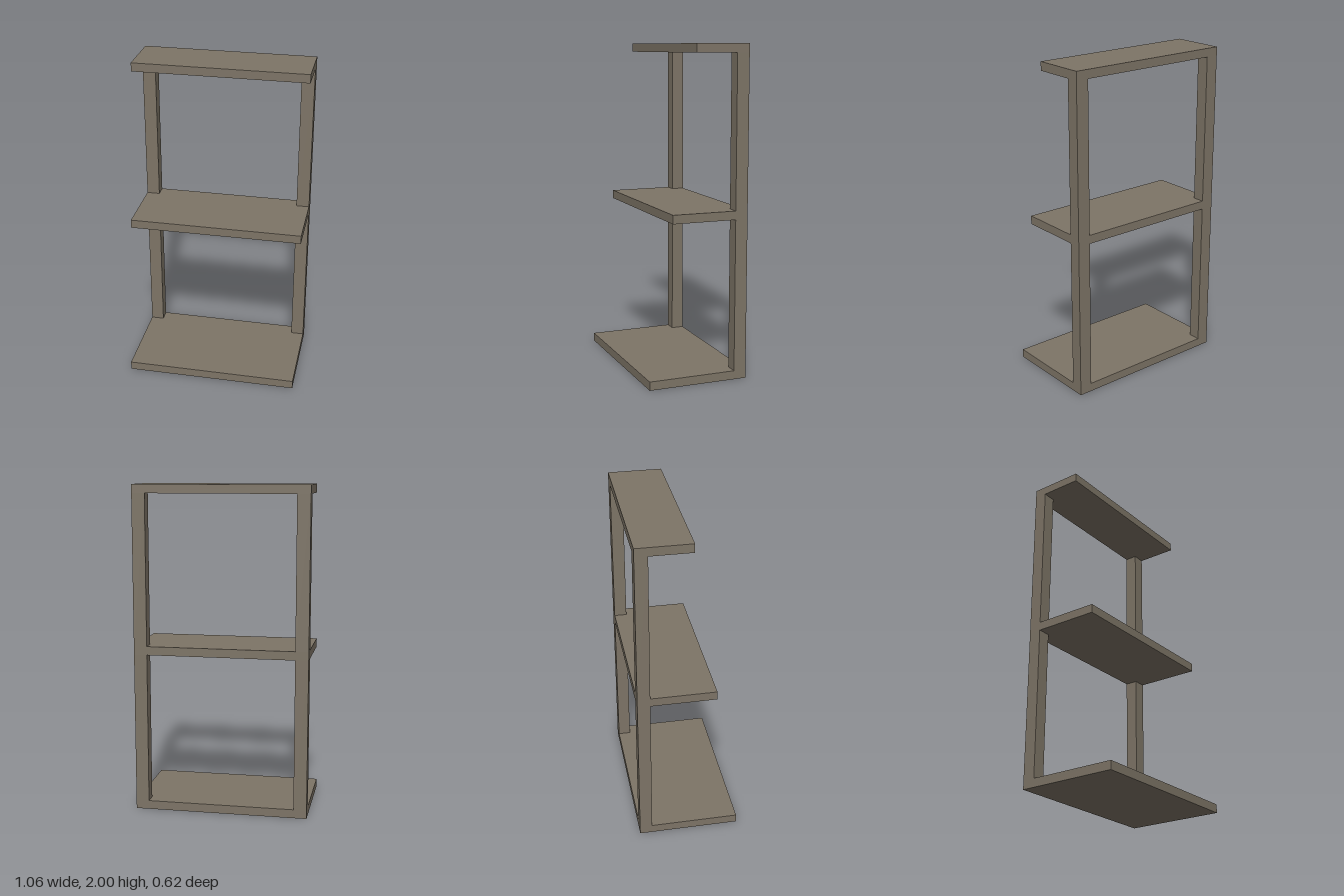
import * as THREE from 'three';

const WIDTH = 1.064, BACK = -0.31, THICK = 0.053;
const POST_W = 0.08, POST_D = 0.077;

export function createModel() {
  const group = new THREE.Group();
  const material = new THREE.MeshStandardMaterial({ color: 0x7d7466 });

  // Box given by its centre x, bottom y and back z
  function box(name, w, h, d, x, y, z) {
    const mesh = new THREE.Mesh(new THREE.BoxGeometry(w, h, d), material);
    mesh.name = name;
    mesh.position.set(x, y + h / 2, z + d / 2);
    group.add(mesh);
  }

  // Shelves, flush at the back and shallower towards the top
  const shelves = [
    { name: 'bottomShelf', y: 0, front: 0.31 },
    { name: 'middleShelf', y: 0.976, front: 0.165 },
    { name: 'topShelf', y: 2 - THICK, front: 0.02 },
  ];
  for (const s of shelves) box(s.name, WIDTH, THICK, s.front - BACK, 0, s.y, BACK);

  // Rear posts, fitted between neighbouring shelves on both sides
  for (const [side, label] of [[1, 'left'], [-1, 'right']]) {
    ['Lower', 'Upper'].forEach((level, i) => {
      const y = shelves[i].y + THICK;
      const x = side * (WIDTH - POST_W) / 2;
      box(`${label}${level}Post`, POST_W, shelves[i + 1].y - y, POST_D, x, y, BACK);
    });
  }

  return group;
}
